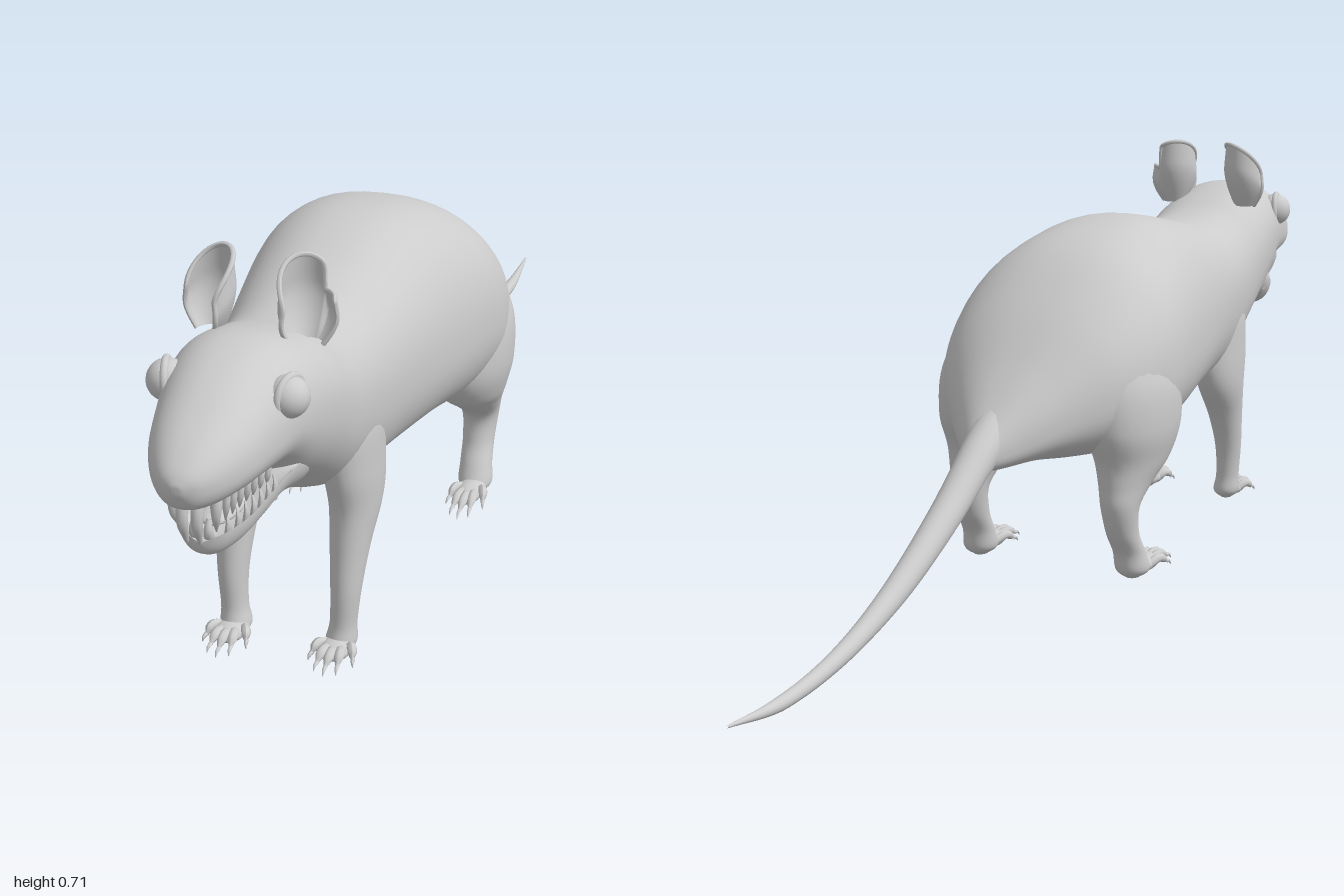
import * as THREE from 'three';

const skin = new THREE.MeshStandardMaterial({ color: 0xcccccc });
const thin = new THREE.MeshStandardMaterial({ color: 0xcccccc, side: THREE.DoubleSide });

function add(parent, name, geometry, material = skin) {
  const mesh = new THREE.Mesh(geometry, material);
  mesh.name = name;
  parent.add(mesh);
  return mesh;
}

// Smooth skin through cross-sections; place(section, angle) gives each point.
function loft(sections, place, { steps = 6, sides = 40 } = {}) {
  const size = sections[0].length, last = sections.length - 1;
  const spline = new THREE.CubicInterpolant(sections.map((s, i) => i), sections.flat(), size);
  const pos = [], index = [], rows = last * steps;
  for (let i = 0; i <= rows; i++) {
    const section = Array.from(spline.evaluate(i / steps));
    for (let j = 0; j < sides; j++) pos.push(...place(section, (j / sides) * Math.PI * 2));
  }
  for (let i = 0; i < rows; i++) {
    for (let j = 0; j < sides; j++) {
      const a = i * sides + j, b = i * sides + ((j + 1) % sides);
      index.push(a, b, a + sides, b, b + sides, a + sides);
    }
  }
  const g = new THREE.BufferGeometry();
  g.setAttribute('position', new THREE.Float32BufferAttribute(pos, 3));
  g.setIndex(index);
  g.computeVertexNormals();
  return g;
}

// Tube whose radius follows a list of values along its path.
function taperTube(points, radii, segments = 12, sides = 10) {
  const curve = new THREE.CatmullRomCurve3(points.map((p) => new THREE.Vector3(...p)));
  const g = new THREE.TubeGeometry(curve, segments, 1, sides);
  const p = g.attributes.position, v = new THREE.Vector3();
  for (let i = 0; i <= segments; i++) {
    const t = i / segments, c = curve.getPointAt(t);
    const f = t * (radii.length - 1), k = Math.min(Math.floor(f), radii.length - 2);
    const r = THREE.MathUtils.lerp(radii[k], radii[k + 1], f - k);
    for (let j = 0; j <= sides; j++) {
      const n = i * (sides + 1) + j;
      v.fromBufferAttribute(p, n).sub(c).multiplyScalar(r).add(c);
      p.setXYZ(n, v.x, v.y, v.z);
    }
  }
  g.computeVertexNormals();
  return g;
}

const power = (v, e) => Math.sign(v) * Math.abs(v) ** e;

// Body section: [z, top, widest height, bottom, half width]
const bodyPoint = ([z, top, mid, bottom, w], a) => {
  const c = Math.cos(a), s = Math.sin(a);
  return [w * power(c, 0.86), mid + (s > 0 ? top - mid : mid - bottom) * power(s, 0.9), z];
};
// Jaw section: same, with the upper side dished
const jawPoint = ([z, top, mid, bottom, w], a) => {
  const c = Math.cos(a), s = Math.sin(a);
  return [w * power(c, 0.85), s > 0 ? mid + (top - mid) * s : mid + (mid - bottom) * s, z];
};
// Leg section: [y, centre x, centre z, radius x, radius z]
const legPoint = (side) => ([y, cx, cz, rx, rz], a) =>
  [side * cx + rx * Math.cos(a), y, cz - rz * Math.sin(a)];

function buildFoot(parent, side, name, x, z, length, spread) {
  const foot = new THREE.Group();
  foot.name = name;
  parent.add(foot);
  const palm = add(foot, 'palm', new THREE.SphereGeometry(1, 20, 14));
  palm.scale.set(spread * 0.78, 0.015, length * 0.42);
  palm.position.set(side * x, 0.016, z + length * 0.3);
  for (let i = -2; i <= 2; i++) {
    const dx = (i / 2) * spread, reach = length * (1 - 0.09 * i * i);
    const px = side * x + dx;
    add(foot, 'toe', taperTube(
      [[side * x + dx * 0.45, 0.014, z + reach * 0.35], [px * 1 - dx * 0.15, 0.024, z + reach * 0.68], [px, 0.013, z + reach * 0.92]],
      [0.008, 0.0085, 0.008, 0.0075, 0.002], 12, 8));
    add(foot, 'claw', taperTube(
      [[px, 0.014, z + reach * 0.88], [px + dx * 0.06, 0.012, z + reach], [px + dx * 0.1, 0.005, z + reach * 1.05]],
      [0.004, 0.003, 0.0005], 6, 6));
  }
}

function buildEar(parent, side) {
  const ear = new THREE.Group();
  ear.name = side > 0 ? 'leftEar' : 'rightEar';
  parent.add(ear);
  // Curled cup, open to the front and outside; the left one is notched
  const point = (u, v) => {
    const a = THREE.MathUtils.degToRad(15 + 215 * u);
    let h = 0.065 + 0.06 * Math.sin(Math.PI * u) ** 0.7;
    if (side > 0 && u < 0.27) h = 0.072;
    const s = 0.5 + 0.5 * Math.sin(Math.min(1, v * 1.5) * Math.PI / 2) - 0.22 * Math.max(0, v - 0.6);
    return [side * (0.078 + 0.043 * s * Math.cos(a)), 0.583 + h * v, 0.675 - 0.05 * s * Math.sin(a)];
  };
  const U = 40, V = 12, pos = [], index = [], rim = [];
  for (let i = 0; i <= U; i++) {
    for (let j = 0; j <= V; j++) pos.push(...point(i / U, j / V));
    if (i < U) for (let j = 0; j < V; j++) {
      const a = i * (V + 1) + j, b = a + V + 1;
      index.push(a, b, a + 1, b, b + 1, a + 1);
    }
  }
  const g = new THREE.BufferGeometry();
  g.setAttribute('position', new THREE.Float32BufferAttribute(pos, 3));
  g.setIndex(index);
  g.computeVertexNormals();
  add(ear, 'earCup', g, thin);
  for (let j = 0; j <= 6; j++) rim.push(point(0, j / 6));
  for (let i = 1; i <= U; i++) rim.push(point(i / U, 1));
  for (let j = 5; j >= 0; j--) rim.push(point(1, j / 6));
  add(ear, 'earRim', taperTube(rim, [0.004, 0.004], 90, 8));
}

export function createModel() {
  const rat = new THREE.Group();
  rat.name = 'rat';

  // Torso, neck, head and muzzle
  add(rat, 'body', loft([
    [-0.30, 0.275, 0.26, 0.245, 0.012],
    [-0.26, 0.31, 0.265, 0.236, 0.042],
    [-0.18, 0.39, 0.30, 0.236, 0.11],
    [-0.08, 0.49, 0.34, 0.222, 0.185],
    [0.03, 0.57, 0.36, 0.21, 0.217],
    [0.14, 0.605, 0.38, 0.212, 0.21],
    [0.25, 0.613, 0.39, 0.235, 0.192],
    [0.40, 0.587, 0.41, 0.248, 0.162],
    [0.50, 0.57, 0.42, 0.255, 0.143],
    [0.59, 0.578, 0.44, 0.29, 0.132],
    [0.66, 0.60, 0.475, 0.335, 0.128],
    [0.73, 0.618, 0.50, 0.38, 0.12],
    [0.79, 0.616, 0.51, 0.43, 0.108],
    [0.85, 0.60, 0.505, 0.444, 0.094],
    [0.91, 0.573, 0.50, 0.449, 0.078],
    [0.955, 0.548, 0.497, 0.452, 0.057],
    [0.985, 0.525, 0.497, 0.462, 0.034],
    [0.998, 0.508, 0.497, 0.485, 0.012],
    [1.0, 0.4975, 0.497, 0.4965, 0.0005],
  ], bodyPoint, { sides: 56 }));

  // Open lower jaw running into the throat
  add(rat, 'lowerJaw', loft([
    [0.62, 0.45, 0.42, 0.34, 0.08],
    [0.70, 0.45, 0.42, 0.347, 0.093],
    [0.77, 0.42, 0.425, 0.364, 0.084],
    [0.82, 0.385, 0.412, 0.354, 0.071],
    [0.87, 0.375, 0.40, 0.346, 0.058],
    [0.905, 0.375, 0.392, 0.347, 0.040],
    [0.92, 0.379, 0.385, 0.358, 0.022],
    [0.925, 0.375, 0.375, 0.374, 0.001],
  ], jawPoint));

  const tongue = add(rat, 'tongue', new THREE.SphereGeometry(1, 20, 12));
  tongue.scale.set(0.03, 0.012, 0.07);
  tongue.position.set(0, 0.385, 0.82);

  add(rat, 'tail', taperTube(
    [[0, 0.31, -0.2], [0, 0.265, -0.28], [0, 0.19, -0.39], [0, 0.1, -0.555], [0, 0.045, -0.715], [0, 0.023, -0.87], [0, 0.032, -1]],
    [0.04, 0.031, 0.027, 0.023, 0.018, 0.014, 0.011, 0.002], 48, 20));

  for (const side of [-1, 1]) {
    const label = side > 0 ? 'left' : 'right';

    // Legs and feet
    add(rat, label + 'HindLeg', loft([
      [0.0, 0.156, 0.0, 0.012, 0.015],
      [0.015, 0.156, 0.0, 0.03, 0.034],
      [0.05, 0.154, -0.012, 0.029, 0.03],
      [0.09, 0.152, -0.035, 0.029, 0.032],
      [0.14, 0.152, -0.045, 0.034, 0.039],
      [0.18, 0.151, -0.02, 0.045, 0.064],
      [0.22, 0.15, 0.008, 0.06, 0.095],
      [0.28, 0.146, 0.015, 0.076, 0.125],
      [0.36, 0.132, 0.015, 0.084, 0.125],
      [0.43, 0.11, 0.015, 0.07, 0.09],
      [0.47, 0.09, 0.015, 0.02, 0.02],
    ], legPoint(side), { sides: 28 }));
    buildFoot(rat, side, label + 'HindFoot', 0.158, -0.005, 0.132, 0.031);

    add(rat, label + 'FrontLeg', loft([
      [0.0, 0.09, 0.575, 0.01, 0.012],
      [0.015, 0.09, 0.575, 0.025, 0.03],
      [0.05, 0.093, 0.572, 0.022, 0.026],
      [0.11, 0.096, 0.566, 0.025, 0.03],
      [0.18, 0.097, 0.546, 0.032, 0.042],
      [0.25, 0.098, 0.518, 0.041, 0.066],
      [0.32, 0.093, 0.515, 0.047, 0.082],
      [0.41, 0.08, 0.515, 0.052, 0.085],
      [0.48, 0.065, 0.515, 0.02, 0.03],
    ], legPoint(side), { sides: 28 }));
    buildFoot(rat, side, label + 'FrontFoot', 0.09, 0.565, 0.1, 0.034);

    // Eyes with lids
    const eye = add(rat, label + 'Eye', new THREE.SphereGeometry(0.032, 24, 16));
    eye.position.set(side * 0.092, 0.56, 0.8);
    const lid = add(rat, label + 'Eyelid', new THREE.TorusGeometry(0.031, 0.006, 10, 28));
    lid.position.set(side * 0.094, 0.56, 0.8);
    lid.rotation.set(0, side * 1.3, 0);

    buildEar(rat, side);

    // Long incisors
    add(rat, 'upperIncisor', taperTube(
      [[side * 0.011, 0.475, 0.945], [side * 0.011, 0.43, 0.957], [side * 0.01, 0.388, 0.945]],
      [0.009, 0.0095, 0.008, 0.003]));
    add(rat, 'upperFang', taperTube(
      [[side * 0.031, 0.47, 0.93], [side * 0.032, 0.43, 0.937], [side * 0.028, 0.4, 0.928]],
      [0.009, 0.009, 0.006, 0.001]));
    add(rat, 'lowerIncisor', taperTube(
      [[side * 0.011, 0.365, 0.9], [side * 0.011, 0.39, 0.917], [side * 0.011, 0.412, 0.915]],
      [0.009, 0.009, 0.007, 0.003]));

    // Side teeth along both jaws
    for (let i = 0; i < 7; i++) {
      const t = i / 6, z = 0.9 - 0.1 * t;
      const xl = 0.032 + 0.034 * t ** 0.75, yl = 0.385 + 0.016 * t;
      add(rat, 'lowerTooth', taperTube(
        [[side * xl, yl - 0.01, z], [side * (xl + 0.004), yl + 0.015, z + 0.003], [side * xl, yl + 0.03, z]],
        [0.0055, 0.005, 0.001], 6, 7));
      const xu = 0.042 + 0.024 * t;
      add(rat, 'upperTooth', taperTube(
        [[side * xu, 0.465, z + 0.02], [side * xu, 0.437, z + 0.024], [side * (xu - 0.004), 0.415 + 0.012 * t, z + 0.018]],
        [0.0065, 0.0055, 0.001], 6, 7));
    }
  }
  return rat;
}
